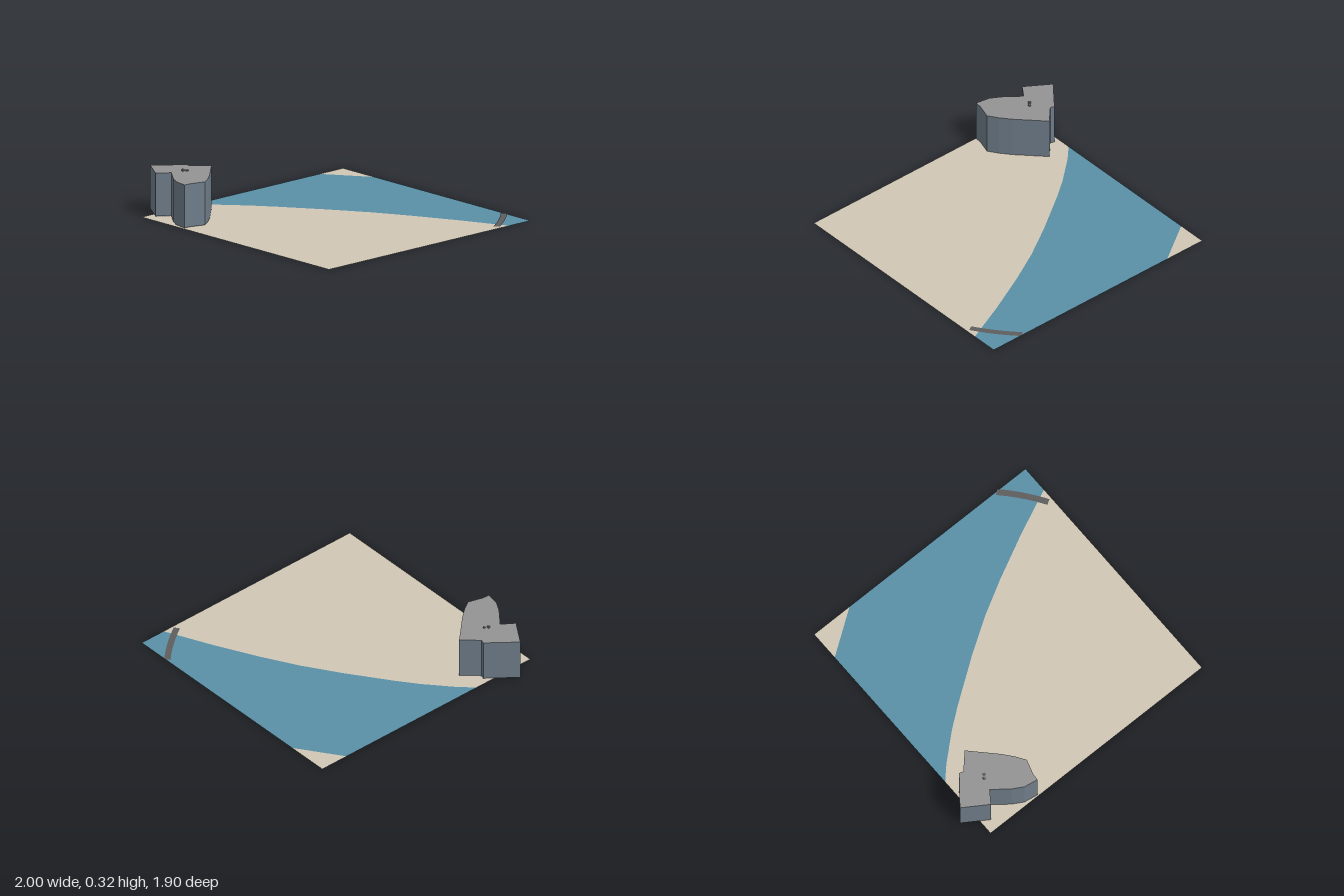
import * as THREE from 'three';

const paint = (color) => new THREE.MeshStandardMaterial({ color, side: THREE.DoubleSide });

// Plan outlines are [x, z] pairs; the shape is drawn as (x, -z) and laid down flat.
const planShape = (points) => new THREE.Shape(points.map(([x, z]) => new THREE.Vector2(x, -z)));

function addFlat(group, name, points, y, material) {
  const geometry = new THREE.ShapeGeometry(planShape(points)).rotateX(-Math.PI / 2);
  const mesh = new THREE.Mesh(geometry, material);
  mesh.name = name;
  mesh.position.y = y;
  group.add(mesh);
}

function addPrism(group, name, points, y, height, material) {
  const geometry = new THREE.ExtrudeGeometry(planShape(points), { depth: height, bevelEnabled: false });
  geometry.rotateX(-Math.PI / 2);
  const mesh = new THREE.Mesh(geometry, material);
  mesh.name = name;
  mesh.position.y = y;
  group.add(mesh);
}

export function createModel() {
  const model = new THREE.Group();
  model.name = 'riversideSite';
  const land = paint(0xd0c7b6);
  const water = paint(0x5a90a6);
  const roof = paint(0x949494);
  const wall = paint(0x6f7d8a);
  const road = paint(0x5e5e5e);

  // Square site, divided by the two river banks
  const left = -0.885, right = 0.998, back = -0.94, front = 0.945;
  const nearBank = [
    [left, 0.46], [-0.79, 0.36], [-0.6, 0.193], [-0.46, 0.086], [-0.157, -0.128],
    [0.1, -0.294], [0.351, -0.433], [0.672, -0.594], [right, -0.742],
  ];
  const farBank = [[-0.568, back], [left, -0.72]];
  addFlat(model, 'nearLand', [...nearBank, [right, front], [left, front]], 0, land);
  addFlat(model, 'farLand', [...farBank, [left, back]], 0, land);
  addFlat(model, 'river', [...nearBank, [right, back], ...farBank], 0, water);

  // Curved bridge deck, a ribbon of constant width
  const path = new THREE.QuadraticBezierCurve(
    new THREE.Vector2(0.736, -0.936), new THREE.Vector2(0.866, -0.806), new THREE.Vector2(0.963, -0.652));
  const sideA = [], sideB = [];
  for (let i = 0; i <= 8; i++) {
    const p = path.getPoint(i / 8), t = path.getTangent(i / 8);
    sideA.push([p.x - t.y * 0.022, p.y + t.x * 0.022]);
    sideB.unshift([p.x + t.y * 0.022, p.y - t.x * 0.022]);
  }
  addFlat(model, 'bridge', [...sideA, ...sideB], 0.004, road);

  // Building with a flat roof
  const plan = [
    [-1, 0.755], [-0.82, 0.872], [-0.758, 0.783], [-0.638, 0.877], [-0.563, 0.92], [-0.461, 0.937],
    [-0.456, 0.885], [-0.424, 0.78], [-0.47, 0.71], [-0.531, 0.636], [-0.707, 0.455], [-0.812, 0.567], [-0.841, 0.557],
  ];
  addPrism(model, 'building', plan, 0.005, 0.305, [roof, wall]);

  // Small rooftop units
  for (const [x, z, top] of [[-0.735, 0.697, 0.325], [-0.717, 0.674, 0.32]]) {
    const s = 0.007;
    addPrism(model, 'rooftopUnit', [[x - s, z + s], [x + s, z + s], [x + s, z - s], [x - s, z - s]],
      0.31, top - 0.31, [roof, wall]);
  }
  return model;
}
